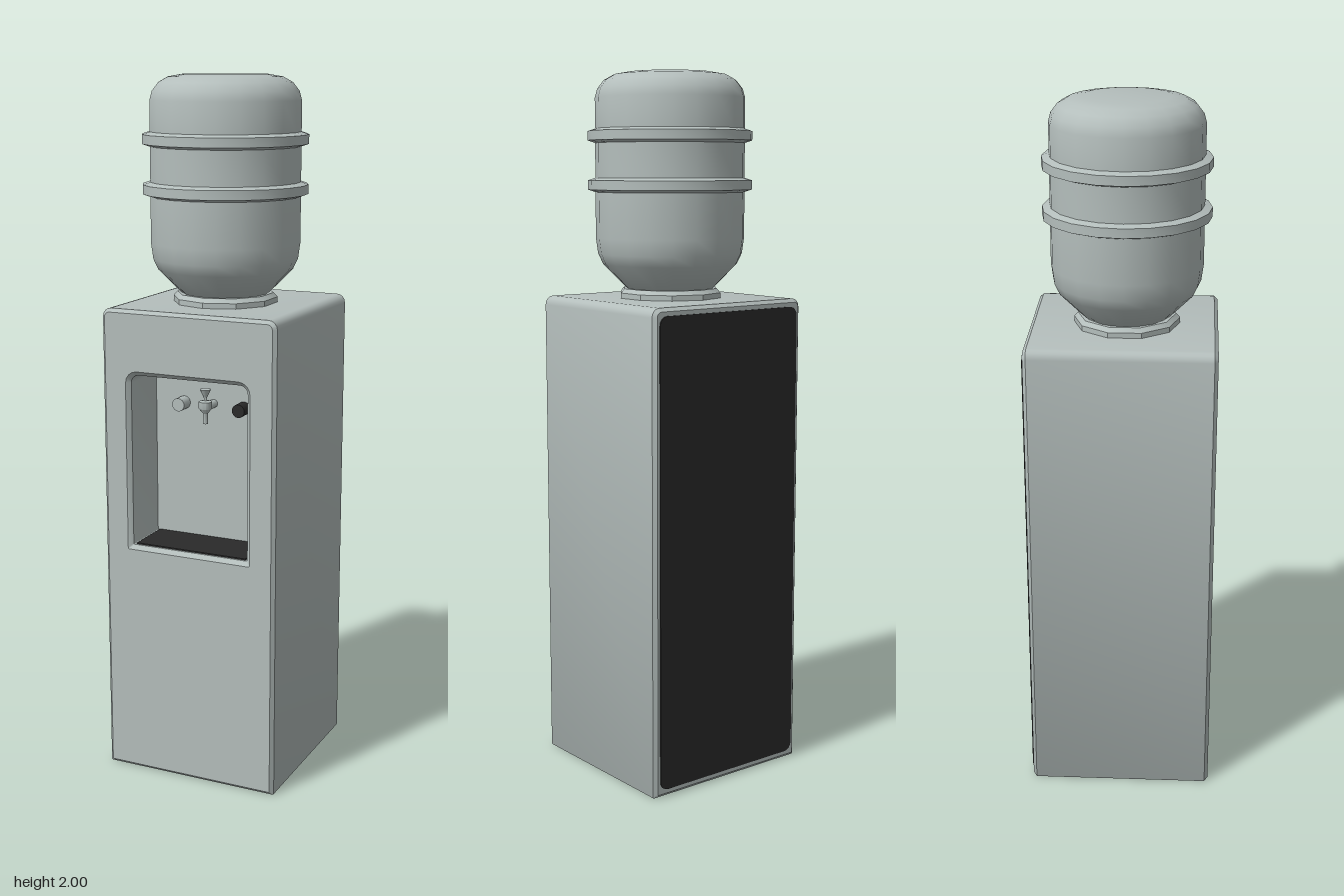
import * as THREE from 'three';
import { toCreasedNormals } from 'three/addons/utils/BufferGeometryUtils.js';

const shell = new THREE.MeshStandardMaterial({ name: 'pale grey plastic', color: 0xb4bebc });
const dark = new THREE.MeshStandardMaterial({ name: 'dark plastic', color: 0x2a2a2a });

function add(parent, name, geometry, material, x = 0, y = 0, z = 0) {
  const mesh = new THREE.Mesh(geometry, material);
  mesh.name = name;
  mesh.position.set(x, y, z);
  parent.add(mesh);
  return mesh;
}

// Rounded rectangle, counter-clockwise seen from the front, shrunk by inset
function outline([x0, x1, y0, y1], rTop, rBottom, inset = 0) {
  const points = [];
  const corners = [
    [x1, y0, -1, 1, rBottom], [x1, y1, -1, -1, rTop],
    [x0, y1, 1, -1, rTop], [x0, y0, 1, 1, rBottom],
  ];
  corners.forEach(([x, y, sx, sy, r], i) => {
    const radius = Math.max(r - inset, 0.002);
    const cx = x + sx * (inset + radius), cy = y + sy * (inset + radius);
    for (let k = 0; k <= 4; k++) {
      const a = (i - 1 + k / 4) * Math.PI / 2;
      points.push(new THREE.Vector2(cx + radius * Math.cos(a), cy + radius * Math.sin(a)));
    }
  });
  return points;
}

// Skin joining a series of closed outlines, each at its own z
function loft(rings) {
  const n = rings[0].points.length, position = [], index = [];
  rings.forEach(({ points, z }) => points.forEach((p) => position.push(p.x, p.y, z)));
  for (let i = 0; i < rings.length - 1; i++) {
    for (let j = 0; j < n; j++) {
      const a = i * n + j, b = i * n + (j + 1) % n;
      index.push(a, b, b + n, a, b + n, a + n);
    }
  }
  const geometry = new THREE.BufferGeometry();
  geometry.setAttribute('position', new THREE.Float32BufferAttribute(position, 3));
  geometry.setIndex(index);
  return toCreasedNormals(geometry, 0.6);
}

function lathe(profile, sides, crease) {
  const points = profile.map(([r, y]) => new THREE.Vector2(r, y));
  return toCreasedNormals(new THREE.LatheGeometry(points, sides), crease);
}

export function createModel() {
  const model = new THREE.Group();
  model.name = 'waterCooler';

  // Cabinet: bevelled box with an opening in its front face
  const cabinet = new THREE.Group();
  cabinet.name = 'cabinet';
  model.add(cabinet);
  const box = [-0.265, 0.262, 0, 1.37], opening = [-0.192, 0.188, 0.678, 1.198];
  const bevel = 0.01, front = 0.263, back = -0.263, wall = 0.1;
  const body = (inset) => outline(box, 0.025, 0.004, inset);
  const niche = (inset) => outline(opening, 0.035, 0.004, inset);
  add(cabinet, 'cabinetSides', loft([
    { points: body(bevel), z: back }, { points: body(0), z: back + bevel },
    { points: body(0), z: front - bevel }, { points: body(bevel), z: front },
  ]), shell);
  const face = new THREE.Shape(body(bevel));
  face.holes.push(new THREE.Path(niche(0)));
  add(cabinet, 'cabinetFront', new THREE.ShapeGeometry(face), shell, 0, 0, front);
  const rear = add(cabinet, 'cabinetBack', new THREE.ShapeGeometry(new THREE.Shape(body(bevel))), shell);
  rear.rotation.y = Math.PI;
  rear.position.set(-0.003, 0, back);

  // Dispensing niche
  add(cabinet, 'nicheWalls', loft([
    { points: niche(0), z: front }, { points: niche(0.012), z: front - 0.012 },
    { points: niche(0.012), z: wall },
  ]), shell);
  add(cabinet, 'nicheBack', new THREE.ShapeGeometry(new THREE.Shape(niche(0.012))), shell, 0, 0, wall);
  add(cabinet, 'dripTray', new THREE.BoxGeometry(0.34, 0.005, 0.142), dark, -0.002, 0.6915, 0.175);

  // Dark service panel on the back
  const panel = new THREE.Shape(outline([-0.247, 0.244, 0.022, 1.348], 0.025, 0.025));
  add(cabinet, 'backPanel',
    new THREE.ExtrudeGeometry(panel, { depth: 0.004, bevelEnabled: false }), dark, 0, 0, back - 0.003);

  // Tap and the two round buttons
  const tap = new THREE.Group();
  tap.name = 'tap';
  tap.position.set(0.003, 1.085, 0.155);
  model.add(tap);
  const pipe = add(tap, 'tapPipe', new THREE.CylinderGeometry(0.012, 0.012, 0.06, 12), shell, 0, 0.005, -0.027);
  pipe.rotation.x = Math.PI / 2;
  add(tap, 'tapSpout', lathe([
    [0, -0.042], [0.007, -0.042], [0.007, -0.012], [0.019, 0.002], [0.019, 0.022], [0, 0.026],
  ], 12, 0.7), shell);
  add(tap, 'tapStem', new THREE.CylinderGeometry(0.005, 0.005, 0.02, 8), shell, 0, 0.03, 0);
  add(tap, 'tapHandle', new THREE.CylinderGeometry(0.016, 0.005, 0.022, 12), shell, 0, 0.046, 0);
  [['coldButton', -0.09, shell], ['hotButton', 0.097, dark]].forEach(([name, x, material]) => {
    const button = add(model, name, new THREE.CylinderGeometry(0.019, 0.019, 0.042, 16), material, x, 1.085, 0.12);
    button.rotation.x = Math.PI / 2;
  });

  // Collar and bottle with two raised ribs
  const bottle = new THREE.Group();
  bottle.name = 'bottle';
  bottle.position.set(-0.004, 0, 0.007);
  model.add(bottle);
  add(bottle, 'collar', lathe([
    [0.149, 1.365], [0.149, 1.385], [0.138, 1.397], [0.1, 1.397],
  ], 10, 0.5), shell);
  const rib = (y) => [[0.212, y - 0.022], [0.233, y - 0.015], [0.233, y + 0.011], [0.212, y + 0.018]];
  add(bottle, 'bottleBody', lathe([
    [0, 1.392], [0.12, 1.392], [0.192, 1.465], [0.206, 1.495], [0.212, 1.54],
    ...rib(1.69), ...rib(1.827),
    [0.212, 1.93], [0.205, 1.955], [0.187, 1.978], [0.16, 1.993], [0.12, 2], [0, 2],
  ], 20, 0.85), shell);

  return model;
}
